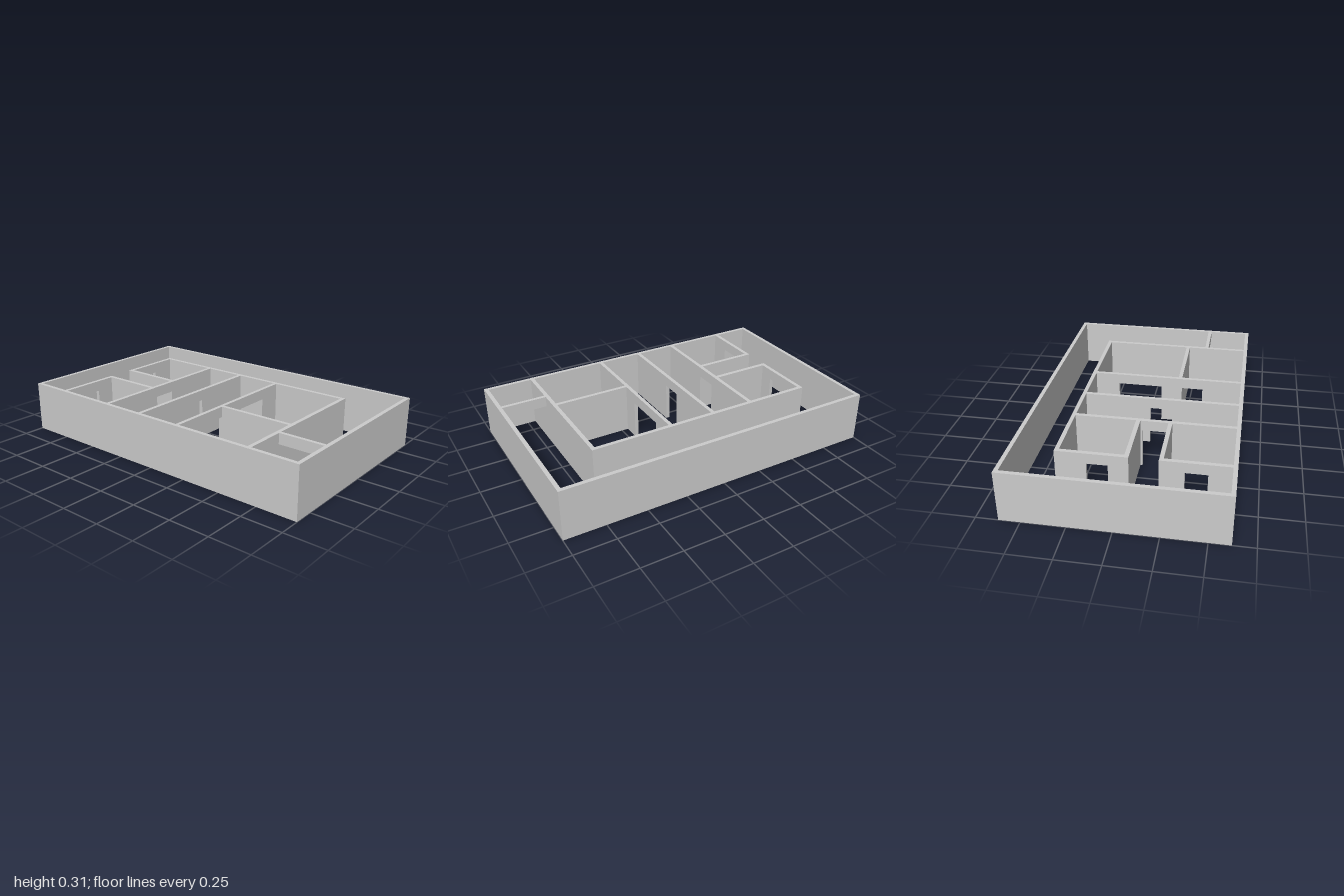
import * as THREE from 'three';

const H = 0.31;      // wall height
const DOOR = 0.245;  // top of the openings
const material = new THREE.MeshStandardMaterial({ color: 0xcccccc, flatShading: true });

// Wall along x or z, lo..hi thick, running a..b, with openings [from, to] notched up from the floor
function wall(name, axis, lo, hi, a, b, openings = []) {
  const pts = [[a, H], [a, 0]];
  for (const [p, q] of openings) pts.push([p, 0], [p, DOOR], [q, DOOR], [q, 0]);
  pts.push([b, 0], [b, H]);
  const shape = new THREE.Shape(pts.map(([s, y]) => new THREE.Vector2(axis === 'x' ? s : -s, y)));
  const geo = new THREE.ExtrudeGeometry(shape, { depth: hi - lo, bevelEnabled: false });
  if (axis === 'z') geo.rotateY(Math.PI / 2).translate(lo, 0, 0);
  else geo.translate(0, 0, lo);
  const mesh = new THREE.Mesh(geo, material);
  mesh.name = name;
  return mesh;
}

// Rectangular ring of outside walls
function outerWalls() {
  const rect = (T, x, z) => new T([[-x, -z], [x, -z], [x, z], [-x, z]].map(p => new THREE.Vector2(...p)));
  const shape = rect(THREE.Shape, 1, 0.622);
  shape.holes.push(rect(THREE.Path, 0.976, 0.598));
  const geo = new THREE.ExtrudeGeometry(shape, { depth: H, bevelEnabled: false });
  geo.rotateX(-Math.PI / 2);
  const mesh = new THREE.Mesh(geo, material);
  mesh.name = 'outerWalls';
  return mesh;
}

export function createModel() {
  const group = new THREE.Group();
  group.name = 'floorPlan';
  const F = 0.598;           // inner face of the front wall
  const B = -0.342;          // inner face of the rooms' back wall
  group.add(
    outerWalls(),
    wall('roomsBackWall', 'x', -0.366, B, -0.754, 0.7),
    // Long partitions, front to back
    wall('corridorEndPartition', 'z', -0.369, -0.345, B, F, [[0.055, 0.195]]),
    wall('hallPartition', 'z', -0.104, -0.08, B, F, [[0.06, 0.195]]),
    wall('largeRoomPartition', 'z', 0.186, 0.209, B, F, [[-0.19, 0.09], [0.222, 0.355]]),
    wall('sidePartition', 'z', 0.676, 0.7, B, F),
    // Two small rooms with a corridor between them
    wall('backRoomDoorWall', 'z', -0.754, -0.73, B, 0.043, [[-0.19, -0.07]]),
    wall('backRoomCorridorWall', 'x', 0.018, 0.043, -0.73, -0.369),
    wall('frontRoomDoorWall', 'z', -0.754, -0.73, 0.206, F, [[0.345, 0.47]]),
    wall('frontRoomCorridorWall', 'x', 0.206, 0.23, -0.73, -0.369),
    // Large room divider
    wall('largeRoomDivider', 'x', 0.198, 0.221, 0.209, 0.676),
  );
  // Lintel over the open bay in the corner
  const lintel = new THREE.Mesh(new THREE.BoxGeometry(0.276, H - DOOR, 0.022), material);
  lintel.position.set(0.838, (H + DOOR) / 2, 0.34);
  lintel.name = 'bayLintel';
  group.add(lintel);
  return group;
}
